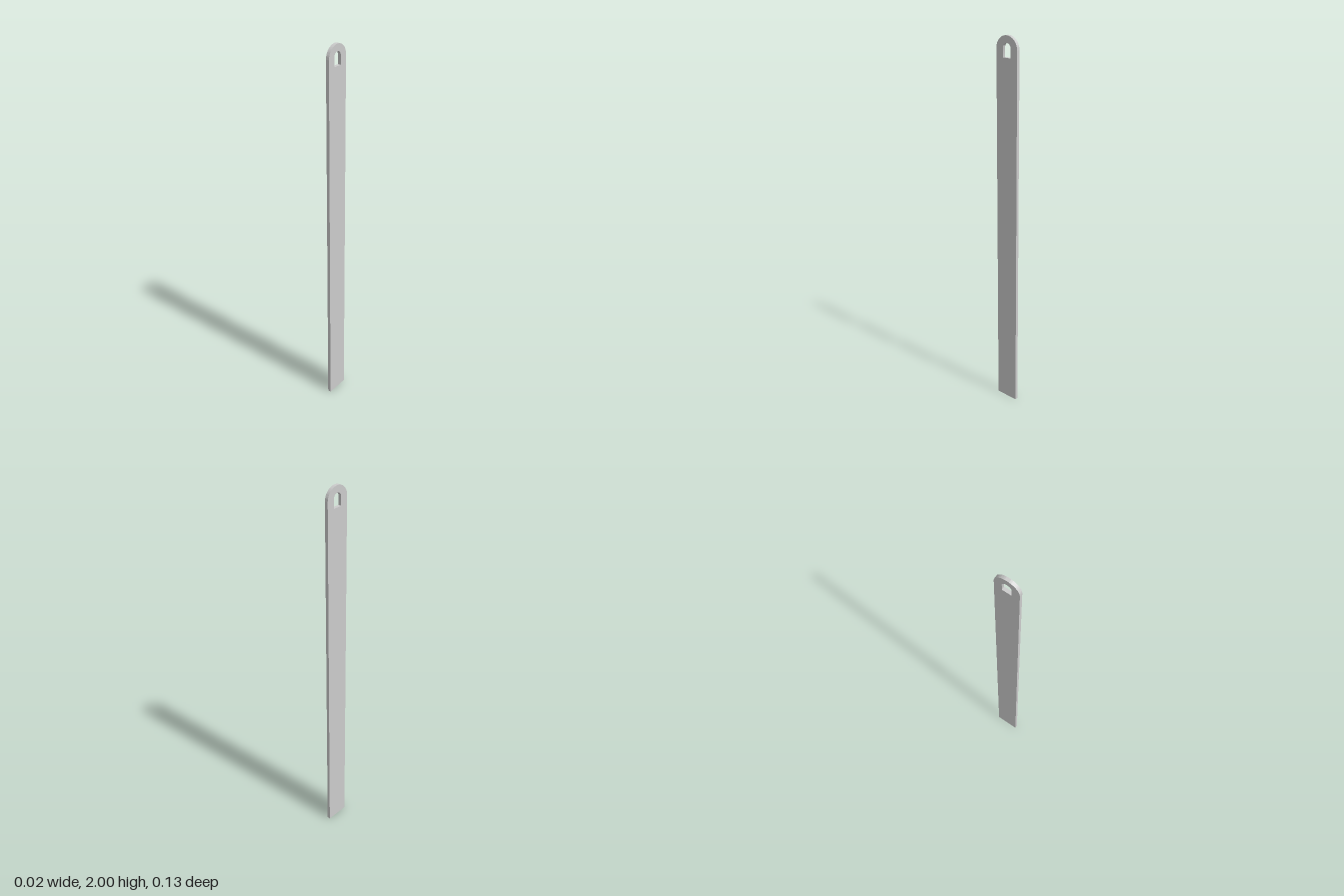
import * as THREE from 'three';
import { toCreasedNormals } from 'three/addons/utils/BufferGeometryUtils.js';

const HEIGHT = 2, HALF_WIDTH = 0.063, THICKNESS = 0.017;
const HOLE_HALF = 0.024, HOLE_BOTTOM = 1.897, HOLE_TOP = 1.965;

// Straight-sided outline with a semicircular top
function archOutline(path, halfWidth, bottom, top) {
  path.moveTo(-halfWidth, bottom);
  path.lineTo(halfWidth, bottom);
  path.lineTo(halfWidth, top - halfWidth);
  path.absarc(0, top - halfWidth, halfWidth, 0, Math.PI, false);
  path.closePath();
  return path;
}

export function createModel() {
  const group = new THREE.Group();
  group.name = 'flatStrip';

  // Long flat strip with a rounded end and an arched hanging hole
  const shape = archOutline(new THREE.Shape(), HALF_WIDTH, 0, HEIGHT);
  shape.holes.push(archOutline(new THREE.Path(), HOLE_HALF, HOLE_BOTTOM, HOLE_TOP));

  const geometry = new THREE.ExtrudeGeometry(shape, {
    depth: THICKNESS, bevelEnabled: false, curveSegments: 32,
  });
  geometry.translate(0, 0, -THICKNESS / 2);
  geometry.rotateY(Math.PI / 2);

  const strip = new THREE.Mesh(
    toCreasedNormals(geometry, Math.PI / 6),
    new THREE.MeshStandardMaterial({ color: 0xcccccc }),
  );
  strip.name = 'strip';
  group.add(strip);
  return group;
}
